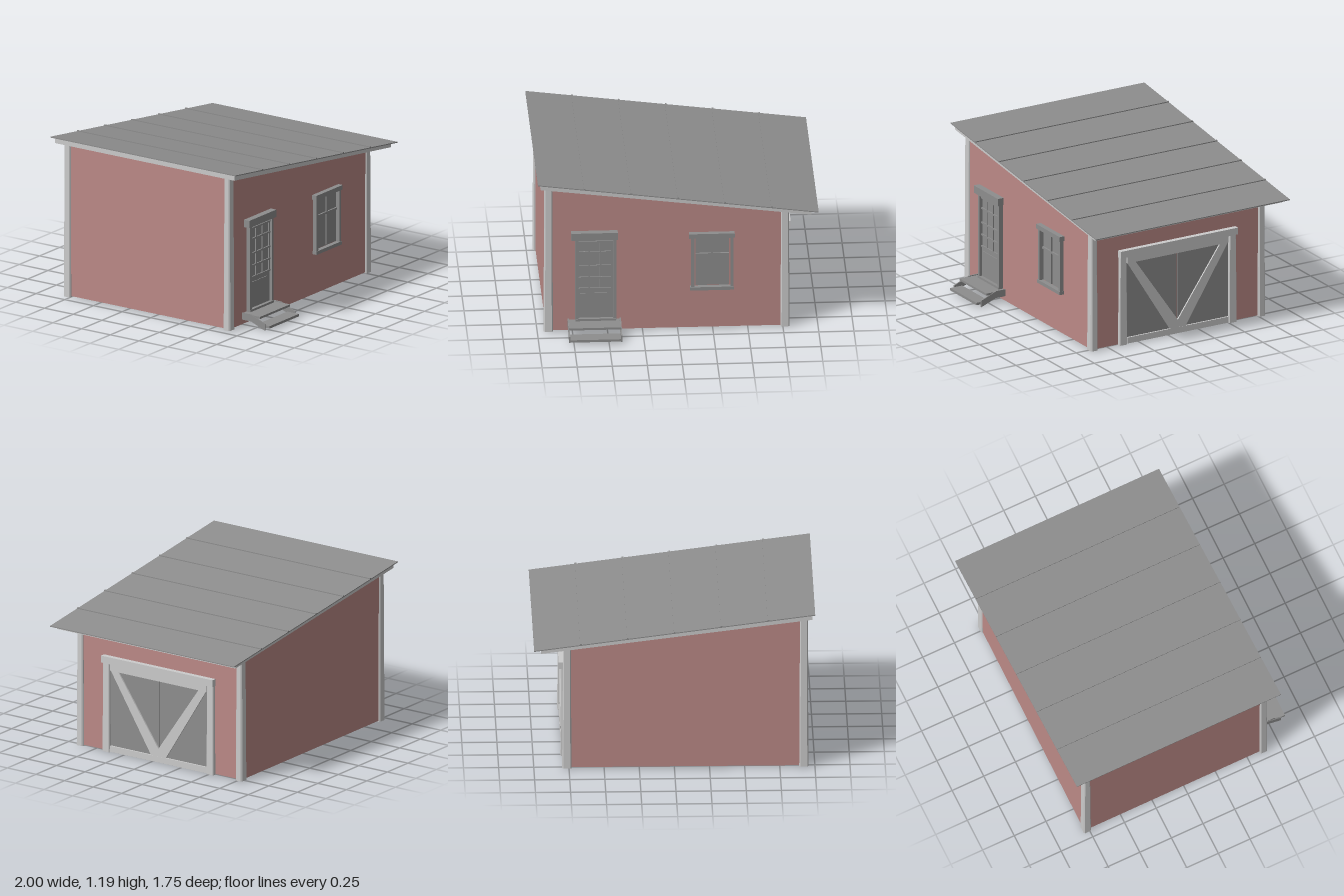
import * as THREE from 'three';

const mat = (name, color) => {
  const m = new THREE.MeshStandardMaterial({ color });
  m.name = name;
  return m;
};

export function createModel() {
  const model = new THREE.Group();
  model.name = 'shed';
  const red = mat('faded red wall', 0xbc8a87);
  const pale = mat('pale trim', 0xcccccc);
  const grey = mat('grey metal and wood', 0x8e8e8e);

  const group = (name) => {
    const g = new THREE.Group();
    g.name = name;
    model.add(g);
    return g;
  };
  const add = (parent, name, geometry, material) => {
    const m = new THREE.Mesh(geometry, material);
    m.name = name;
    parent.add(m);
    return m;
  };
  // Box given by its limits on each axis
  const box = (parent, name, material, [x0, x1], [y0, y1], [z0, z1]) => {
    const m = add(parent, name, new THREE.BoxGeometry(x1 - x0, y1 - y0, z1 - z0), material);
    m.position.set((x0 + x1) / 2, (y0 + y1) / 2, (z0 + z1) / 2);
    return m;
  };
  const polygon = (points) => new THREE.Shape(points.map(([x, y]) => new THREE.Vector2(x, y)));
  // Outline in x and y, extruded between two z values
  const slab = (parent, name, material, points, z0, z1) => {
    const g = new THREE.ExtrudeGeometry(polygon(points), { depth: z1 - z0, bevelEnabled: false });
    return add(parent, name, g.translate(0, 0, z0), material);
  };
  // Outline in z and y, extruded between two x values
  const sideSlab = (parent, name, material, points, x0, x1) => {
    const g = new THREE.ExtrudeGeometry(polygon(points.map(([z, y]) => [-z, y])), { depth: x1 - x0, bevelEnabled: false });
    return add(parent, name, g.rotateY(Math.PI / 2).translate(x0, 0, 0), material);
  };
  // Chamfered post, narrower at the top, cut along a sloping top
  const post = (parent, name, x, z, w, d, y0, topAt) => {
    const a = w / 2, b = d / 2, c = Math.min(w, d) * 0.15;
    const outline = [[a, b - c], [a - c, b], [c - a, b], [-a, b - c], [-a, c - b], [c - a, -b], [a - c, -b], [a, c - b]];
    const g = new THREE.ExtrudeGeometry(polygon(outline), { depth: 1, bevelEnabled: false });
    g.rotateX(-Math.PI / 2);
    const p = g.attributes.position;
    for (let i = 0; i < p.count; i++) {
      const top = p.getY(i) > 0.5, s = top ? 0.84 : 1;
      const px = x + p.getX(i) * s;
      p.setXYZ(i, px, top ? topAt(px) : y0, z + p.getZ(i) * s);
    }
    g.computeVertexNormals();
    return add(parent, name, g, pale);
  };

  const roofTop = (x) => 1.066 - 0.129 * x;
  const eave = (x) => 1.024 - 0.125 * x;
  const band = (x0, x1, low, high) => [[x0, low(x0)], [x1, low(x1)], [x1, high(x1)], [x0, high(x0)]];

  // Walls and corner posts
  slab(model, 'walls', red, band(-0.935, 0.78, () => 0.015, (x) => eave(x) + 0.005), -0.785, 0.64);
  const posts = group('cornerPosts');
  for (const x of [-0.921, 0.765])
    for (const z of [0.624, -0.768]) post(posts, 'cornerPost', x, z, 0.066, 0.058, 0.008, (px) => eave(px) + 0.003);

  // Sloping roof with raised seams
  const roof = group('roof');
  slab(roof, 'roofTrim', pale, band(-0.98, 0.95, eave, (x) => roofTop(x) - 0.006), -0.85, 0.712);
  slab(roof, 'roofSheet', grey, band(-1, 1, (x) => roofTop(x) - 0.007, roofTop), -0.875, 0.735);
  for (let i = -2; i <= 2; i++) {
    const x = i / 3;
    slab(roof, 'roofSeam', grey, band(x - 0.006, x + 0.006, roofTop, (v) => roofTop(v) + 0.007), -0.875, 0.735);
  }

  // Front door with twelve panes
  const door = group('frontDoor');
  box(door, 'doorLeaf', grey, [-0.715, -0.455], [0.1, 0.735], [0.63, 0.65]);
  for (const x of [-0.73, -0.46]) box(door, 'doorJamb', grey, [x, x + 0.022], [0.1, 0.735], [0.63, 0.672]);
  box(door, 'doorHeader', grey, [-0.76, -0.428], [0.732, 0.787], [0.63, 0.688]);
  box(door, 'threshold', grey, [-0.73, -0.44], [0.095, 0.112], [0.63, 0.675]);
  for (let i = 0; i < 4; i++) {
    const x = -0.716 + i * 0.0803;
    box(door, 'doorMuntin', grey, [x, x + 0.012], [0.335, 0.705], [0.64, 0.657]);
  }
  for (const y of [0.335, 0.421, 0.512, 0.62, 0.7])
    box(door, 'doorRail', grey, [-0.71, -0.46], [y, y + 0.012], [0.64, 0.659]);
  box(door, 'doorPanel', grey, [-0.695, -0.49], [0.13, 0.305], [0.645, 0.655]);

  // Front window
  const win = group('frontWindow');
  box(win, 'glass', grey, [0.128, 0.367], [0.345, 0.72], [0.635, 0.646]);
  for (const x of [0.095, 0.375]) box(win, 'windowJamb', grey, [x, x + 0.022], [0.335, 0.73], [0.63, 0.67]);
  box(win, 'windowHeader', grey, [0.08, 0.405], [0.723, 0.757], [0.63, 0.678]);
  box(win, 'windowSill', grey, [0.088, 0.398], [0.315, 0.34], [0.63, 0.675]);
  box(win, 'windowMullion', grey, [0.238, 0.252], [0.35, 0.72], [0.64, 0.656]);
  box(win, 'windowBar', grey, [0.128, 0.365], [0.582, 0.597], [0.64, 0.658]);

  // Steps at the front door
  const steps = group('steps');
  box(steps, 'upperTread', grey, [-0.78, -0.41], [0.08, 0.096], [0.64, 0.795]);
  box(steps, 'lowerTread', grey, [-0.775, -0.415], [0.022, 0.04], [0.775, 0.875]);
  for (const x of [-0.785, -0.415])
    sideSlab(steps, 'stringer', grey, [[0.64, 0.05], [0.64, 0.102], [0.715, 0.102], [0.84, 0.052], [0.84, 0.003], [0.72, 0.05]], x, x + 0.01);

  // Double barn door on the left side
  const barn = group('barnDoor');
  const mid = -0.067;
  for (const s of [-1, 1]) {
    const at = (d) => mid + s * d;
    const [z0, z1] = [at(0.003), at(0.425)].sort((a, b) => a - b);
    box(barn, 'barnDoorLeaf', grey, [0.77, 0.786], [0.02, 0.665], [z0, z1]);
    post(barn, 'barnDoorPost', 0.788, at(0.455), 0.035, 0.064, 0.01, () => 0.675);
    sideSlab(barn, 'diagonalBrace', pale, [[at(0.415), 0.62], [at(0.35), 0.62], [at(0), 0.115], [at(0), 0.058], [at(0.065), 0.058]], 0.78, 0.797);
  }
  box(barn, 'barnDoorTopRail', pale, [0.775, 0.798], [0.62, 0.668], [-0.488, 0.354]);
  box(barn, 'barnDoorBottomRail', pale, [0.775, 0.798], [0.013, 0.058], [-0.488, 0.354]);
  box(barn, 'barnDoorHeader', pale, [0.77, 0.818], [0.675, 0.726], [-0.555, 0.42]);

  return model;
}
